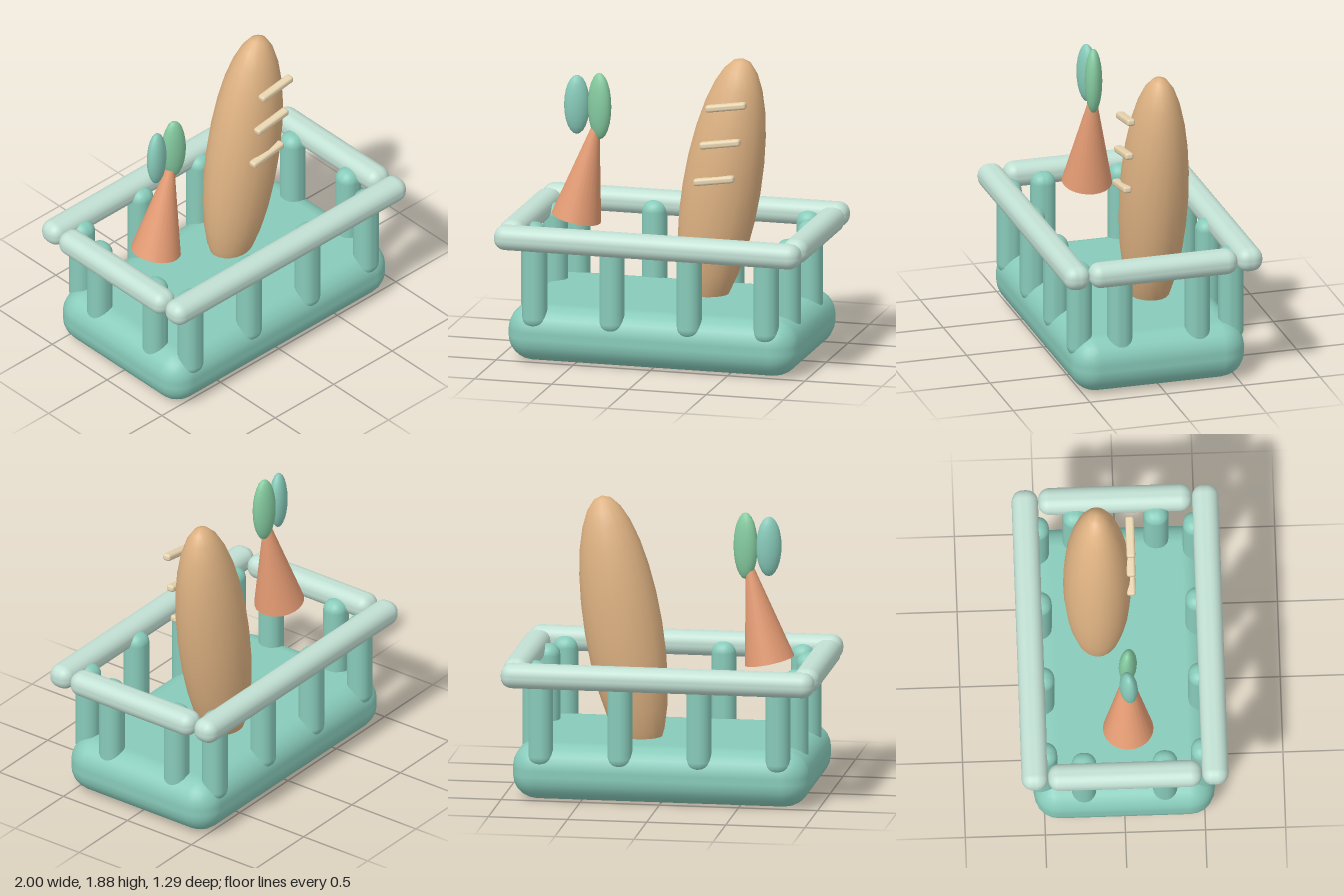
import * as THREE from 'three';
import { RoundedBoxGeometry } from 'three/addons/geometries/RoundedBoxGeometry.js';

const paint = (name, color) => {
  const m = new THREE.MeshStandardMaterial({ color });
  m.name = name;
  return m;
};

export function createModel() {
  const teal = paint('teal', 0x88cbba);
  const mint = paint('pale mint', 0xc2e0d4);
  const crust = paint('bread crust', 0xdeb282);
  const cream = paint('score cream', 0xe6d3ae);
  const orange = paint('carrot orange', 0xe59c74);
  const green = paint('leaf green', 0x85cba0);

  const model = new THREE.Group();
  model.name = 'groceryBasket';

  const add = (parent, name, geometry, material, x, y, z) => {
    const mesh = new THREE.Mesh(geometry, material);
    mesh.name = name;
    mesh.position.set(x, y, z);
    parent.add(mesh);
    return mesh;
  };
  const group = (name) => {
    const g = new THREE.Group();
    g.name = name;
    model.add(g);
    return g;
  };

  // Basket: padded base, upright slats and rim rails
  const basket = group('basket');
  add(basket, 'base', new RoundedBoxGeometry(1.88, 0.36, 1.13, 3, 0.16), teal, 0, 0.18, 0);

  const slat = new RoundedBoxGeometry(0.155, 0.62, 0.155, 3, 0.07);
  for (const side of [-1, 1]) {
    for (const x of [-0.75, -0.25, 0.25, 0.75]) {
      add(basket, 'longSideSlat', slat, teal, x, 0.53, side * 0.495);
    }
    for (const z of [-0.253, 0.253]) {
      add(basket, 'shortSideSlat', slat, teal, side * 0.825, 0.53, z);
    }
  }

  const longRail = new RoundedBoxGeometry(1.98, 0.155, 0.165, 3, 0.07);
  const shortRail = new RoundedBoxGeometry(0.165, 0.155, 0.96, 3, 0.07);
  for (const side of [-1, 1]) {
    add(basket, 'longRail', longRail, mint, 0, 0.81, side * 0.563);
    add(basket, 'shortRail', shortRail, mint, side * 0.917, 0.81, 0);
  }

  // Bread loaf leaning to the side, with three score strips in front
  const bread = group('bread');
  const loafShape = new THREE.SphereGeometry(1, 20, 14).scale(0.248, 0.85, 0.213);
  const loaf = add(bread, 'loaf', loafShape, crust, 0.285, 1.045, -0.133);
  loaf.rotation.z = -0.162;

  const score = new RoundedBoxGeometry(0.265, 0.045, 0.055, 2, 0.017);
  for (const [x, y] of [[0.294, 1.138], [0.333, 1.376], [0.371, 1.616]]) {
    add(bread, 'scoreStrip', score, cream, x, y, 0.077).rotation.z = 0.15;
  }

  // Carrot with two leaves
  const carrot = group('carrot');
  const root = add(carrot, 'carrotRoot',
    new THREE.CylinderGeometry(0.028, 0.158, 0.59, 24), orange, -0.55, 1.12, 0.03);
  root.rotation.z = -0.21;

  const leaf = new THREE.SphereGeometry(1, 16, 12);
  const leaves = [
    ['leftLeaf', green, -0.46, 1.557, 0.213, -0.3],
    ['rightLeaf', teal, -0.607, 1.558, 0.19, 0.3],
  ];
  for (const [name, material, x, y, halfHeight, turn] of leaves) {
    const mesh = add(carrot, name, leaf, material, x, y, 0.033);
    mesh.scale.set(0.08, halfHeight, 0.055);
    mesh.rotation.y = turn;
  }

  return model;
}
